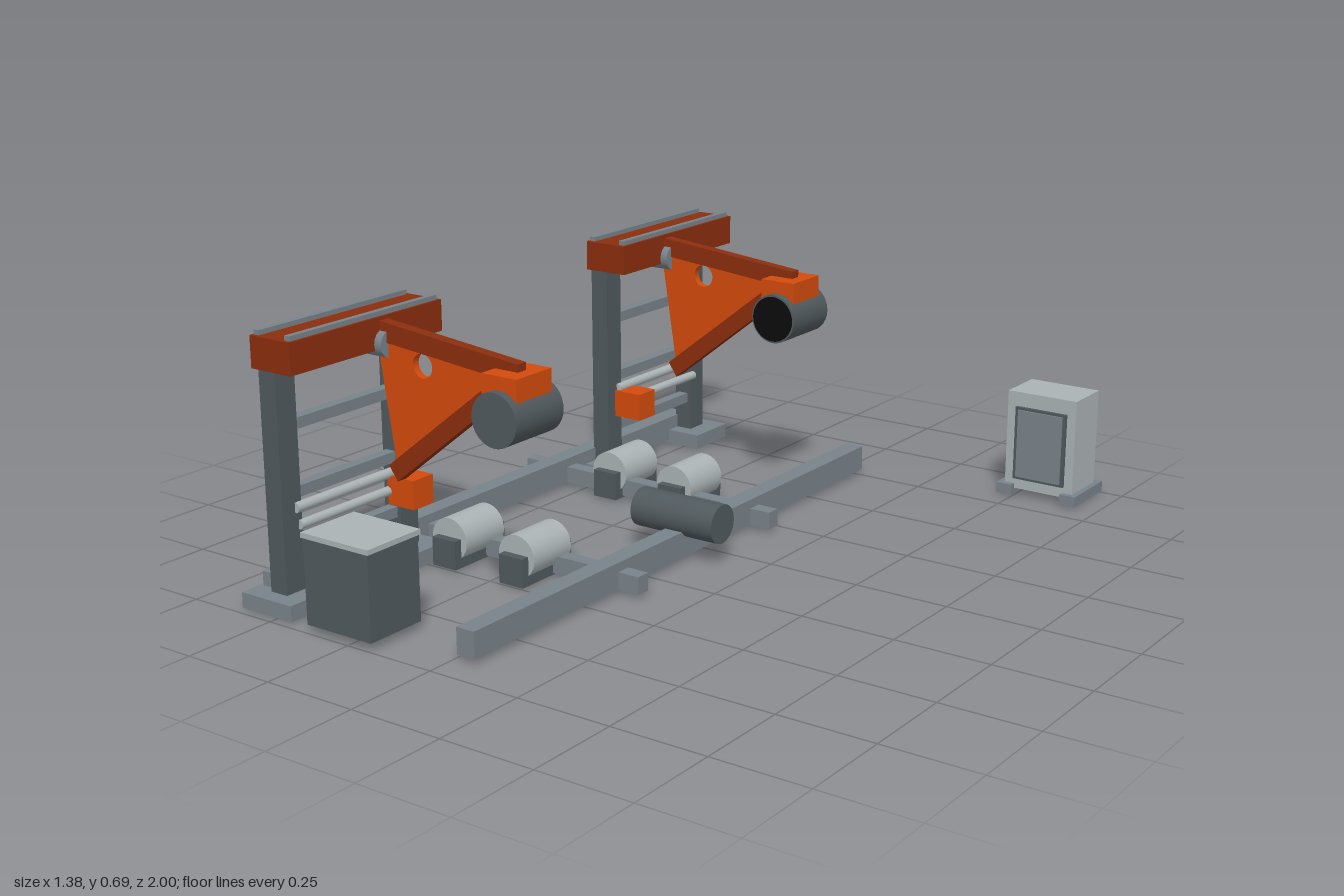
import * as THREE from 'three';

const mat = (name, color) => {
  const m = new THREE.MeshStandardMaterial({ color });
  m.name = name;
  return m;
};

export function createModel() {
  const orange = mat('orange', 0xd24a0c);
  const rust = mat('rust', 0x8a2e0e);
  const darkGray = mat('darkGray', 0x50595d);
  const steel = mat('steel', 0x78828a);
  const lightGray = mat('lightGray', 0xaab2b4);
  const black = mat('black', 0x0b0c0d);

  const root = new THREE.Group();
  root.name = 'weldingCell';
  const C = 0.0775; // z of the mirror plane between the two stations

  const add = (parent, name, geo, material, x = 0, y = 0, z = 0) => {
    const m = new THREE.Mesh(geo, material);
    m.name = name;
    m.position.set(x, y, z);
    parent.add(m);
    return m;
  };
  // Box given by its minimum and maximum on each axis
  const box = (parent, name, material, x0, x1, y0, y1, z0, z1) =>
    add(parent, name, new THREE.BoxGeometry(x1 - x0, y1 - y0, z1 - z0), material,
      (x0 + x1) / 2, (y0 + y1) / 2, (z0 + z1) / 2);
  const rod = (parent, name, material, axis, r, len, x, y, z) => {
    const g = new THREE.CylinderGeometry(r, r, len, 32);
    if (axis === 'x') g.rotateZ(Math.PI / 2);
    if (axis === 'z') g.rotateX(Math.PI / 2);
    return add(parent, name, g, material, x, y, z);
  };
  // Flat profile in x and y, centred on z
  const plate = (parent, name, material, pts, depth, z, hole) => {
    const s = new THREE.Shape(pts.map(p => new THREE.Vector2(p[0], p[1])));
    if (hole) s.holes.push(new THREE.Path().absarc(hole[0], hole[1], hole[2], 0, Math.PI * 2, true));
    const g = new THREE.ExtrudeGeometry(s, { depth, bevelEnabled: false, curveSegments: 24 });
    return add(parent, name, g, material, 0, 0, z - depth / 2);
  };

  // Floor frame: two long rails and the centre drum
  const frame = new THREE.Group();
  frame.name = 'floorFrame';
  root.add(frame);
  box(frame, 'rearRail', steel, -0.603, -0.552, 0.012, 0.08, C - 0.84, C + 0.84);
  box(frame, 'frontRail', steel, 0.008, 0.06, 0.012, 0.08, C - 0.84, C + 0.84);
  rod(frame, 'centreDrum', darkGray, 'x', 0.051, 0.249, 0.03, 0.109, C);

  for (const s of [1, -1]) {
    const station = new THREE.Group();
    station.name = s > 0 ? 'frontStation' : 'backStation';
    root.add(station);
    const zg = C + s * 0.6275; // gantry
    const zb = C + s * 0.575; // boom
    const zc = C + s * 0.2875; // cross member
    const zr = C + s * 0.33; // rollers

    // Cross member with two rollers in saddles
    box(station, 'crossMember', steel, -0.695, 0.12, 0.01, 0.056, zc - 0.02, zc + 0.02);
    for (const x of [-0.396, -0.18]) {
      rod(station, 'roller', lightGray, 'z', 0.056, 0.144, x, 0.073, zr);
      box(station, 'rollerSaddle', darkGray, x - 0.037, x + 0.037, 0.005, 0.08, zr - 0.095, zr + 0.095);
    }

    // Gantry posts on base plates, with rungs between
    for (const e of [-0.2, 0.2]) {
      const z = zg + e;
      box(station, 'basePlate', steel, -0.612, -0.45, 0.003, 0.043, z - 0.074, z + 0.074);
      box(station, 'post', darkGray, -0.557, -0.505, 0, 0.6, z - 0.031, z + 0.031);
    }
    for (const y of [0.45, 0.283, 0.138])
      box(station, 'rung', steel, -0.546, -0.516, y - 0.014, y + 0.014, zg - 0.18, zg + 0.18);

    // Guide rods with sliding block
    rod(station, 'upperGuideRod', lightGray, 'z', 0.013, 0.38, -0.504, 0.252, zg);
    rod(station, 'lowerGuideRod', lightGray, 'z', 0.012, 0.36, -0.504, 0.207, zg);
    const zs = zg - s * 0.162;
    box(station, 'slidingBlock', orange, -0.505, -0.42, 0.173, 0.248, zs - 0.036, zs + 0.036);

    // Top beam with two track strips
    box(station, 'topBeam', rust, -0.552, -0.426, 0.6, 0.679, zg - 0.257, zg + 0.257);
    for (const x of [-0.539, -0.441])
      box(station, 'trackStrip', steel, x - 0.008, x + 0.008, 0.679, 0.691, zg - 0.248, zg + 0.248);

    // Boom: pivot, flange, web with round hole, and diagonal strut
    rod(station, 'boomPivot', steel, 'x', 0.035, 0.097, -0.453, 0.615, zb);
    plate(station, 'boomFlange', rust,
      [[-0.435, 0.622], [-0.005, 0.582], [-0.005, 0.629], [-0.435, 0.671]], 0.03, zb);
    plate(station, 'boomWeb', orange,
      [[-0.44, 0.628], [-0.39, 0.31], [-0.06, 0.58], [-0.06, 0.592]], 0.02, zb, [-0.298, 0.578, 0.03]);
    plate(station, 'boomStrut', rust,
      [[-0.413, 0.315], [-0.387, 0.278], [-0.04, 0.553], [-0.065, 0.589]], 0.03, zb);

    // Head block and drum with a dark mouth on its inner end
    box(station, 'headBlock', orange, -0.072, 0.03, 0.548, 0.61, zb - 0.063, zb + 0.063);
    rod(station, 'headDrum', darkGray, 'z', 0.066, 0.17, -0.02, 0.511, zb);
    rod(station, 'drumMouth', black, 'z', 0.061, 0.004, -0.02, 0.511, zb - s * 0.086);
  }

  // Dark bin with lid
  const bin = new THREE.Group();
  bin.name = 'bin';
  root.add(bin);
  box(bin, 'binBody', darkGray, -0.38, -0.18, 0.02, 0.234, 0.828, 0.996);
  box(bin, 'binLid', lightGray, -0.384, -0.175, 0.234, 0.247, 0.824, 1);

  // Control cabinet on two feet
  const cabinet = new THREE.Group();
  cabinet.name = 'controlCabinet';
  root.add(cabinet);
  box(cabinet, 'cabinetBody', lightGray, 0.471, 0.673, 0.02, 0.295, -0.98, -0.842);
  box(cabinet, 'doorFrame', darkGray, 0.498, 0.648, 0.05, 0.255, -0.842, -0.833);
  box(cabinet, 'doorPanel', steel, 0.508, 0.639, 0.058, 0.248, -0.833, -0.828);
  for (const x of [0.476, 0.666])
    box(cabinet, 'cabinetFoot', steel, x - 0.023, x + 0.023, 0.004, 0.033, -1, -0.825);

  return root;
}
